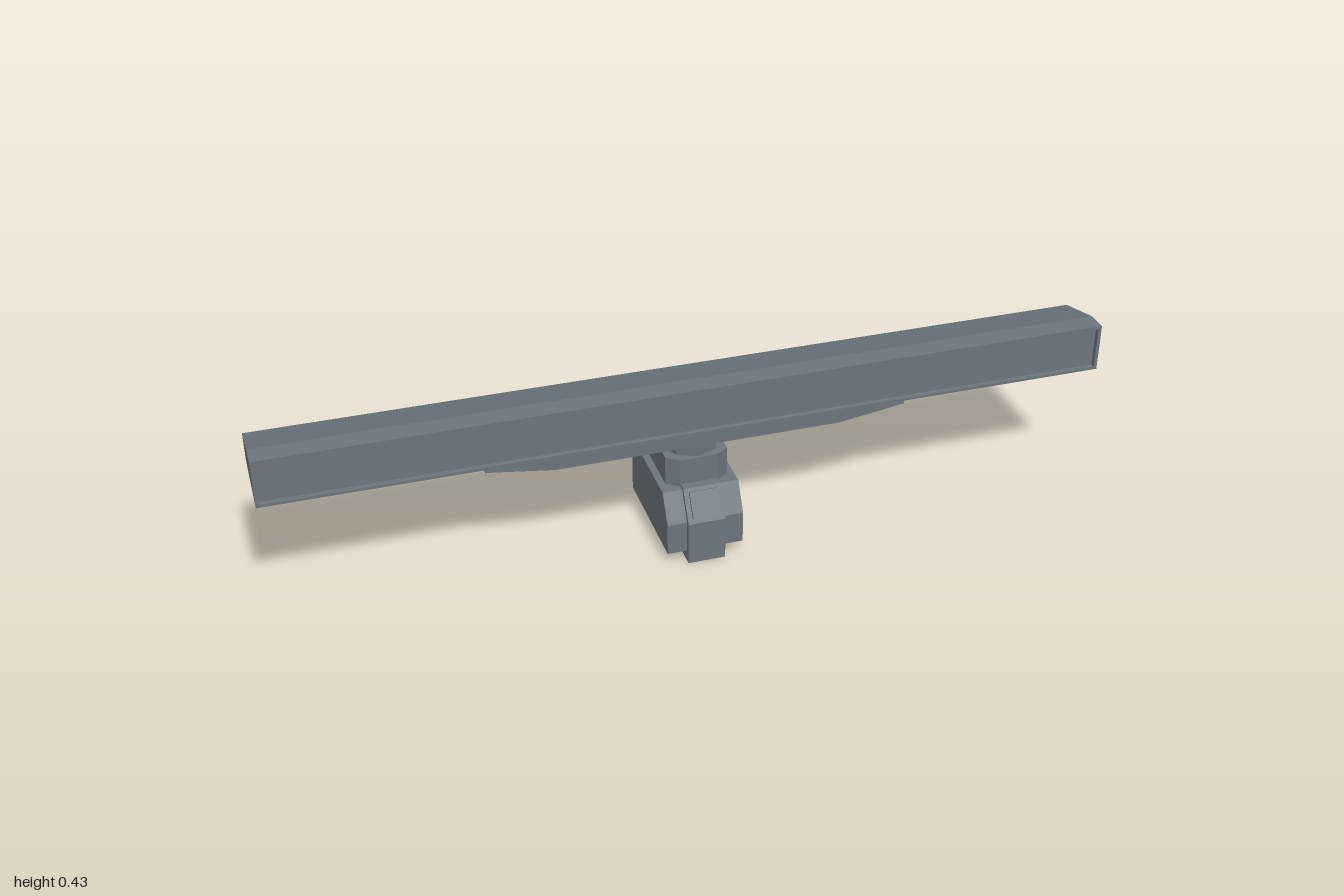
import * as THREE from 'three';

const grey = new THREE.MeshStandardMaterial({ color: 0x6c757d });
grey.name = 'marine grey';

const shapeOf = (pts) => new THREE.Shape(pts.map(([a, b]) => new THREE.Vector2(a, b)));
const extrude = (shape, depth) => new THREE.ExtrudeGeometry(shape, { depth, bevelEnabled: false });

export function createModel() {
  const group = new THREE.Group();
  group.name = 'radarScanner';

  const add = (name, geometry, x = 0, y = 0, z = 0) => {
    const mesh = new THREE.Mesh(geometry, grey);
    mesh.name = name;
    mesh.position.set(x, y, z);
    group.add(mesh);
    return mesh;
  };
  // Side profile of [z, y] points, extruded symmetrically along x
  const sideProfile = (name, pts, width) =>
    add(name, extrude(shapeOf(pts), width).translate(0, 0, -width / 2).rotateY(-Math.PI / 2));
  // Box from its bounds
  const box = (name, x0, x1, y0, y1, z0, z1) =>
    add(name, new THREE.BoxGeometry(x1 - x0, y1 - y0, z1 - z0), (x0 + x1) / 2, (y0 + y1) / 2, (z0 + z1) / 2);
  // Faceted upright drum
  const drum = (name, radius, y0, y1) =>
    add(name, new THREE.CylinderGeometry(radius, radius, y1 - y0, 8).toNonIndexed(), 0, (y0 + y1) / 2, 0.027)
      .geometry.computeVertexNormals();

  // Motor housing: central spine with a stepped, slightly smaller body around it
  sideProfile('housingSpine', [[0.162, 0], [0.162, 0.108], [0.12, 0.181], [-0.161, 0.181], [-0.161, 0]], 0.09);
  sideProfile('housingBody', [[0.15, 0.028], [0.15, 0.107], [0.112, 0.175], [-0.145, 0.175], [-0.145, 0.028]], 0.184);

  // Access plate lying on the sloped front of the spine
  sideProfile('frontPlate', [[0.156, 0.118], [0.162, 0.121], [0.13, 0.176], [0.124, 0.173]], 0.066);

  // Pedestal with chamfered front corners, plus the rear gearbox
  const pedestal = shapeOf([
    [-0.075, 0.055], [0.075, 0.055], [0.075, -0.077], [0.045, -0.098], [-0.045, -0.098], [-0.075, -0.077],
  ]);
  add('pedestal', extrude(pedestal, 0.072).rotateX(-Math.PI / 2), 0, 0.174, 0);
  box('gearbox', -0.082, 0.082, 0.174, 0.26, -0.139, -0.055);

  // Turning bearing
  drum('lowerBearing', 0.066, 0.24, 0.288);
  drum('upperBearing', 0.058, 0.285, 0.31);

  // Channel bracket under the antenna, with two tapered flanges
  sideProfile('bracketPlate', [[0.11, 0.307], [0.11, 0.318], [-0.057, 0.334], [-0.057, 0.307]], 1);
  const flange = shapeOf([[-0.5, 0.308], [-0.34, 0.285], [0.34, 0.285], [0.5, 0.308]]);
  for (const [name, z] of [['frontFlange', 0.1], ['rearFlange', -0.057]]) {
    add(name, extrude(flange, 0.01), 0, 0, z);
  }

  // Antenna bar with sloped roof and a shallow recessed front window
  sideProfile('antennaBar', [[0.101, 0.318], [0.101, 0.434], [0.06, 0.434], [-0.061, 0.403], [-0.061, 0.335]], 2);
  const frame = shapeOf([[-1, 0.317], [1, 0.317], [1, 0.434], [-1, 0.434]]);
  frame.holes.push(shapeOf([[-0.992, 0.324], [-0.992, 0.427], [0.992, 0.427], [0.992, 0.324]]));
  add('antennaFrame', extrude(frame, 0.012), 0, 0, 0.101);

  return group;
}
